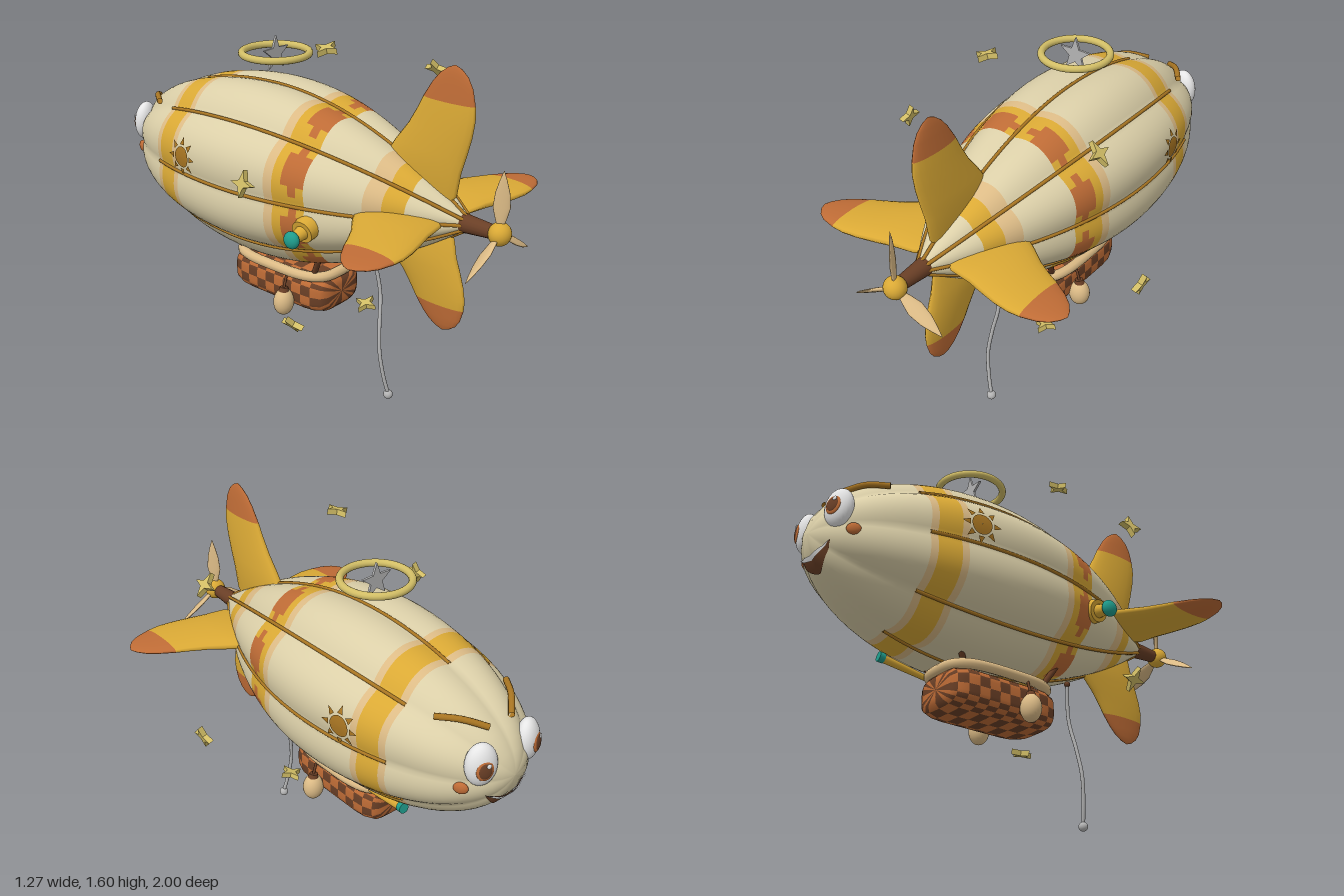
import * as THREE from 'three';

const V = (x, y, z) => new THREE.Vector3(x, y, z);
const AXIS = 0.957; // height of the hull axis

// Hull: elliptic nose, parabolic tail, eight bulging gores
const lobe = a => 0.963 + 0.078 * Math.abs(Math.sin(4 * a));
const hullR = z => z < -0.2
  ? 0.385 * Math.sqrt(Math.max(0, 1 - ((z + 0.2) / 0.8) ** 2))
  : 0.385 * (1 - ((z + 0.2) / 1.04) ** 2);
const hullPoint = (z, a, lift = 0) => {
  const r = hullR(z) * lobe(a) + lift;
  return V(r * Math.cos(a), AXIS + r * Math.sin(a), z);
};
const noseZ = (x, y) => {
  const r = Math.hypot(x, y) / lobe(Math.atan2(y, x));
  return -0.2 - 0.8 * Math.sqrt(1 - (r / 0.385) ** 2);
};

// Skin closed rings (counter-clockwise, ordered along +z); pick gives the material index of a cell
function loft(rings, pick = () => 0) {
  const n = rings[0].length, lists = [];
  for (let i = 0; i < rings.length - 1; i++) for (let j = 0; j < n; j++) {
    const k = (j + 1) % n, m = pick(i, j);
    const a = i * n + j, b = i * n + k, c = a + n, d = b + n;
    (lists[m] ??= []).push(a, b, c, b, d, c);
  }
  const g = new THREE.BufferGeometry().setFromPoints(rings.flat());
  g.setIndex(lists.flat());
  let start = 0;
  lists.forEach((l, m) => { g.addGroup(start, l.length, m); start += l.length; });
  g.computeVertexNormals();
  return g;
}

// Lens-section blade rising along +y; sections are [height, leading z, trailing z, half thickness]
function blade(sections, pick) {
  const rings = sections.map(([d, lead, trail, t]) => Array.from({ length: 20 }, (_, j) => {
    const a = j / 20 * Math.PI * 2;
    return V(t * Math.cos(a), -(lead + trail) / 2 + (trail - lead) / 2 * Math.sin(a), d);
  }));
  return loft(rings, pick).rotateX(-Math.PI / 2);
}

function star(points, R, r, depth) {
  const pts = Array.from({ length: points * 2 }, (_, i) => {
    const a = Math.PI / 2 + i * Math.PI / points, q = i % 2 ? r : R;
    return new THREE.Vector2(q * Math.cos(a), q * Math.sin(a));
  });
  return new THREE.ExtrudeGeometry(new THREE.Shape(pts), { depth, bevelEnabled: false }).translate(0, 0, -depth / 2);
}

const tube = (pts, r, n = 32, closed = false) =>
  new THREE.TubeGeometry(new THREE.CatmullRomCurve3(pts, closed), n, r, 10, closed);

export function createModel() {
  const root = new THREE.Group();
  root.name = 'airship';
  const mat = (name, color, side = THREE.FrontSide) => {
    const m = new THREE.MeshStandardMaterial({ color, side });
    m.name = name;
    return m;
  };
  const cream = mat('cream', 0xdbcfa8), tan = mat('tan', 0xdcbb86), gold = mat('gold', 0xdaa935);
  const rust = mat('rust', 0xbf6c36), brown = mat('brown', 0x6a3f26, THREE.DoubleSide);
  const ochre = mat('ochre', 0xa87522, THREE.DoubleSide), teal = mat('teal', 0x1f9c8c);
  const white = mat('white', 0xe6e6e6, THREE.DoubleSide), silver = mat('silver', 0xb4b4b4);
  const paleGold = mat('paleGold', 0xd2be66);

  const add = (name, geo, material, pos, parent = root) => {
    const m = new THREE.Mesh(geo, material);
    m.name = name;
    if (pos) m.position.copy(pos);
    parent.add(m);
    return m;
  };
  const rod = (name, a, b, r1, r2, material) => {
    const m = add(name, new THREE.CylinderGeometry(r2, r1, a.distanceTo(b), 16), material, a.clone().lerp(b, 0.5));
    m.quaternion.setFromUnitVectors(V(0, 1, 0), b.clone().sub(a).normalize());
    return m;
  };
  const ball = (name, r, material, pos, sx = 1, sy = 1, sz = 1) => {
    const m = add(name, new THREE.SphereGeometry(r, 24, 16), material, pos);
    m.scale.set(sx, sy, sz);
    return m;
  };

  // Hull with painted bands and a stepped rust pattern
  const stations = [-1, -0.998, -0.99, -0.975, -0.95, -0.92, -0.88, -0.84, -0.8, -0.75, -0.7, -0.63, -0.6, -0.55, -0.5, -0.47,
    -0.4, -0.33, -0.26, -0.2, -0.13, -0.06, 0, 0.05, 0.09, 0.13, 0.163, 0.197, 0.23, 0.28, 0.34, 0.4, 0.46, 0.53, 0.57, 0.61,
    0.67, 0.73, 0.79, 0.84];
  const around = 96, steps = ['011100', '111110', '011100'];
  const hull = loft(stations.map(z => Array.from({ length: around }, (_, j) => hullPoint(z, j / around * Math.PI * 2))), (i, j) => {
    const z = (stations[i] + stations[i + 1]) / 2, within = (a, b) => z > a && z < b;
    if (within(0.13, 0.23)) return steps[Math.floor((z - 0.13) / 0.0334)][(j >> 1) % 6] === '1' ? 3 : 2;
    if (within(-0.6, -0.5) || within(0.09, 0.13) || within(0.53, 0.61)) return 2;
    if (within(-0.63, -0.47) || within(0.05, 0.09) || within(0.46, 0.53)) return 1;
    return 0;
  });
  add('hull', hull, [cream, tan, gold, rust]);

  // Seam ropes in the valleys between gores
  for (let k = 0; k < 8; k++) {
    const pts = Array.from({ length: 16 }, (_, i) => hullPoint(-0.63 + i * 0.096, k * Math.PI / 4, 0.003));
    add('seamRope', tube(pts, 0.0075, 40), ochre);
  }

  // Tail fins with rust tips; the lower one is shorter
  const finSections = [[0.03, 0.5, 0.7, 0.01], [0.1, 0.34, 0.75, 0.03], [0.2, 0.4, 0.765, 0.037], [0.27, 0.445, 0.785, 0.036],
    [0.35, 0.505, 0.805, 0.032], [0.42, 0.545, 0.815, 0.028], [0.475, 0.572, 0.812, 0.023], [0.54, 0.612, 0.797, 0.017],
    [0.58, 0.645, 0.775, 0.012], [0.607, 0.68, 0.745, 0.006], [0.62, 0.71, 0.715, 0]];
  const fin = blade(finSections, i => (i >= 6 ? 1 : 0));
  for (let k = 0; k < 4; k++) {
    const m = add('tailFin', fin, [gold, rust], V(0, AXIS, 0));
    m.rotation.z = k * Math.PI / 2;
    if (k === 2) m.scale.y = 0.81;
  }

  // Propeller
  rod('propellerShaft', V(0, AXIS, 0.78), V(0, AXIS, 0.93), 0.04, 0.028, brown);
  ball('propellerHub', 0.048, gold, V(0, AXIS, 0.953), 1, 1, 0.95);
  const propBlade = blade([[0.02, -0.008, 0.008, 0.007], [0.06, -0.022, 0.022, 0.009], [0.11, -0.034, 0.034, 0.009],
    [0.17, -0.028, 0.028, 0.007], [0.22, -0.014, 0.014, 0.005], [0.258, -0.001, 0.001, 0]]).rotateY(0.5);
  for (let k = 0; k < 3; k++) add('propellerBlade', propBlade, tan, V(0, AXIS, 0.953)).rotation.z = k * Math.PI * 2 / 3;

  // Ring with a star above the hull
  add('topRing', new THREE.TorusGeometry(0.145, 0.016, 14, 48).rotateX(Math.PI / 2), paleGold, V(0, 1.465, -0.207));
  add('ringStar', star(5, 0.078, 0.032, 0.01), silver, V(0, 1.46, -0.207));

  // Six floating stars circling the hull
  const charm = star(4, 0.055, 0.019, 0.024).rotateX(-Math.PI / 2);
  [0.305, 0.2, 0.185].forEach((z, i) => [0, 180].forEach(turn => {
    const a = THREE.MathUtils.degToRad(43 + i * 60 + turn);
    add('floatingStar', charm, paleGold, V(0.636 * Math.cos(a), AXIS + 0.636 * Math.sin(a), z)).rotation.z = a - Math.PI / 2;
  }));

  // Sun emblems laid on both flanks: local x runs around the hull, y along it
  const drape = (g, z0, a0, lift) => {
    const p = g.attributes.position;
    for (let i = 0; i < p.count; i++) {
      const q = hullPoint(z0 + p.getY(i), a0 + p.getX(i) / 0.385, lift);
      p.setXYZ(i, q.x, q.y, q.z);
    }
    g.computeVertexNormals();
    return g;
  };
  for (const a0 of [0.217, Math.PI - 0.217]) {
    add('sunDisc', drape(new THREE.RingGeometry(0.001, 0.046, 28, 4), -0.42, a0, 0.007), ochre);
    for (let k = 0; k < 8; k++) {
      const ray = new THREE.CircleGeometry(0.02, 3).scale(1.2, 0.8, 1).translate(0.066, 0, 0).rotateZ(k * Math.PI / 4);
      add('sunRay', drape(ray, -0.42, a0, 0.008), ochre);
    }
  }

  // Face on the nose: eyes, brows and cheeks
  for (const s of [-1, 1]) {
    const eye = new THREE.Group();
    eye.name = 'eye';
    eye.position.set(s * 0.128, 1.035, -0.938);
    eye.lookAt(s * 0.128 + s * 0.4, 1.135, -1.938);
    root.add(eye);
    const part = (name, r, material, x, y, z, scale) =>
      add(name, new THREE.SphereGeometry(r, 24, 16), material, V(x, y, z), eye).scale.set(...scale);
    part('eyeball', 1, white, 0, 0, 0, [0.066, 0.09, 0.045]);
    part('iris', 0.036, rust, 0, -0.008, 0.037, [1, 1.2, 0.3]);
    part('pupil', 0.028, brown, 0, -0.008, 0.042, [1, 1.2, 0.3]);
    part('eyeGlint', 0.01, white, 0.012, 0.014, 0.048, [1, 1, 0.4]);
    add('eyebrow', tube([V(s * 0.195, 1.18, -0.75), V(s * 0.135, 1.182, -0.83), V(s * 0.06, 1.153, -0.905)], 0.013, 16), ochre);
    ball('cheek', 0.03, rust, V(s * 0.186, 0.93, -0.9), 0.5, 0.85, 1).rotation.y = s * 0.5;
  }

  // Smile and teeth as thin skins following the nose
  const smile = (name, top, bottom, lift, material) => {
    const g = new THREE.PlaneGeometry(1, 1, 24, 6), p = g.attributes.position;
    for (let i = 0; i < p.count; i++) {
      const u = -2 * p.getX(i), x = 0.115 * u, c = 1 - u * u;
      const y = -0.062 - THREE.MathUtils.lerp(bottom, top, p.getY(i) + 0.5) * c;
      p.setXYZ(i, x, AXIS + y, noseZ(x, y) - lift);
    }
    g.computeVertexNormals();
    add(name, g, material);
  };
  smile('mouth', 0.03, 0.095, 0.005, brown);
  smile('teeth', 0.032, 0.05, 0.009, white);

  // Checkered basket
  const basketEnds = [[0, 0], [0, 0.35], [0.002, 0.65], [0.02, 0.86], [0.065, 0.97]];
  const basketRows = [...basketEnds.map(([d, s]) => [-0.368 + d, s]),
    ...Array.from({ length: 7 }, (_, i) => [-0.251 + i * 0.052, 1]),
    ...basketEnds.map(([d, s]) => [0.177 - d, s]).reverse()];
  const bend = (v, e) => Math.sign(v) * Math.abs(v) ** e;
  const basket = loft(basketRows.map(([z, s]) => Array.from({ length: 40 }, (_, j) => {
    const a = j / 40 * Math.PI * 2;
    return V(0.15 * s * bend(Math.cos(a), 0.55), 0.452 + 0.09 * s * bend(Math.sin(a), 0.55), z);
  })), (i, j) => {
    const column = i < 3 ? 0 : i > 12 ? 10 : i - 2;
    return (column + (j >> 1)) % 2;
  });
  add('basket', basket, [brown, rust]);

  // Cushioned rim and struts up to the hull
  const rim = Array.from({ length: 32 }, (_, j) => {
    const a = j / 32 * Math.PI * 2;
    return V(0.15 * bend(Math.cos(a), 0.6), 0.545, -0.097 + 0.258 * bend(Math.sin(a), 0.6));
  });
  add('basketRim', tube(rim, 0.023, 96, true), tan);
  for (const s of [-1, 1]) {
    rod('rearStrut', V(s * 0.105, 0.54, 0.1), V(s * 0.145, 0.66, 0.17), 0.013, 0.013, brown);
    rod('frontStrut', V(s * 0.105, 0.54, -0.3), V(s * 0.14, 0.64, -0.36), 0.013, 0.013, brown);
    // Ballast bags
    ball('ballastBag', 1, tan, V(s * 0.178, 0.405, -0.01), 0.049, 0.062, 0.044);
    rod('bagKnot', V(s * 0.178, 0.455, -0.01), V(s * 0.175, 0.475, -0.01), 0.024, 0.018, brown);
    rod('bagCord', V(s * 0.177, 0.47, -0.01), V(s * 0.155, 0.54, -0.01), 0.006, 0.006, brown);
  }

  // Spyglass at the front of the basket
  rod('spyglass', V(0.12, 0.55, -0.33), V(0.142, 0.597, -0.555), 0.013, 0.019, gold);
  rod('spyglassRing', V(0.14, 0.594, -0.535), V(0.1425, 0.598, -0.56), 0.022, 0.023, teal);

  // Side horn with a knob
  rod('hornBase', V(-0.29, 0.88, 0.24), V(-0.34, 0.868, 0.243), 0.055, 0.05, gold);
  rod('hornStem', V(-0.33, 0.869, 0.243), V(-0.392, 0.857, 0.245), 0.032, 0.022, gold);
  ball('hornKnob', 0.037, teal, V(-0.403, 0.856, 0.245), 0.7, 1, 1);

  // Mooring line
  add('mooringLine', tube([V(0, 0.67, 0.352), V(0.02, 0.5, 0.374), V(-0.005, 0.36, 0.393), V(-0.02, 0.24, 0.409),
    V(-0.008, 0.12, 0.424), V(0.013, 0.025, 0.437)], 0.0085, 40), silver);
  ball('mooringWeight', 0.021, silver, V(0.013, 0.021, 0.437));
  ball('mooringEye', 0.014, brown, V(0, 0.662, 0.353));

  return root;
}
